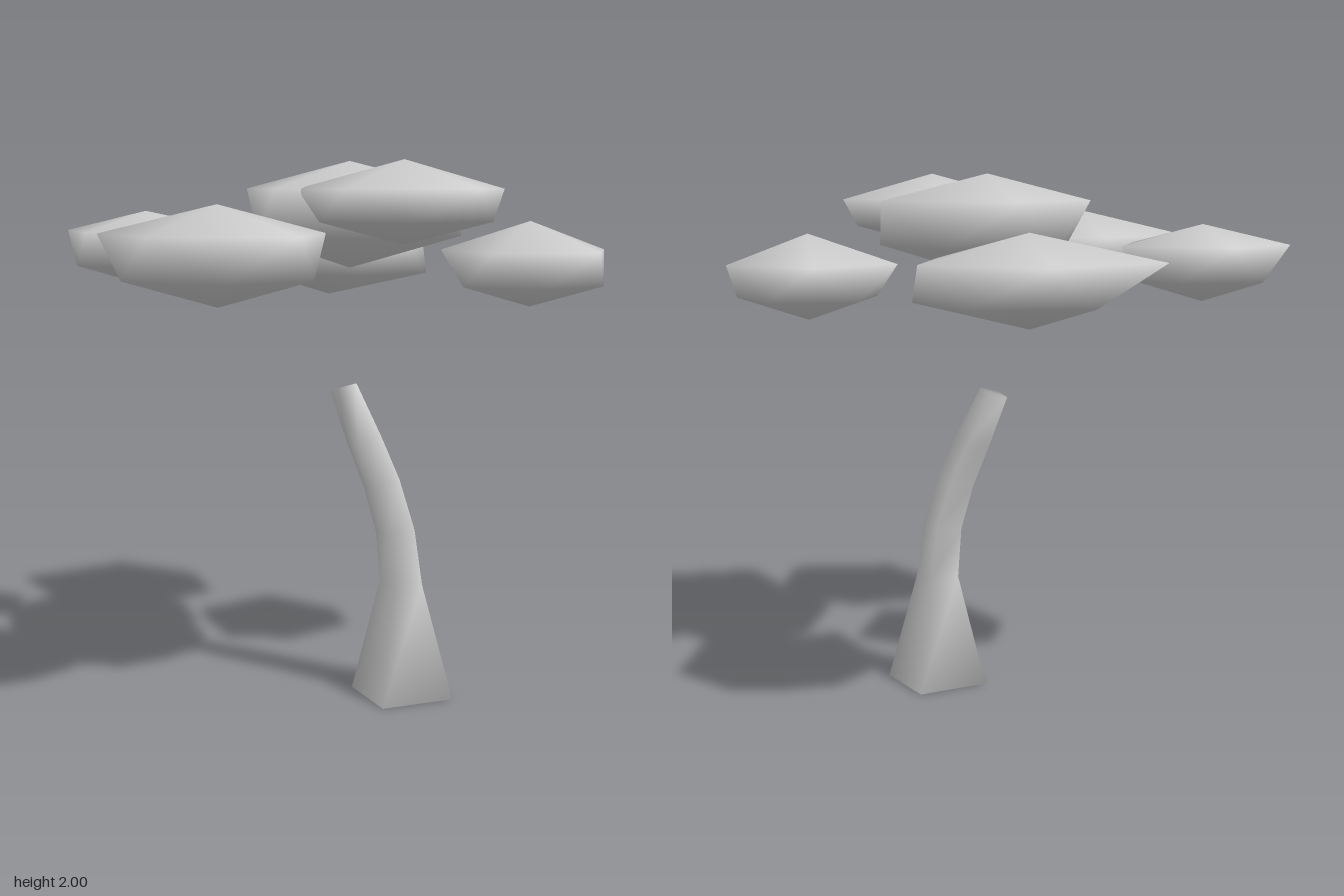
import * as THREE from 'three';

const grey = new THREE.MeshStandardMaterial({ color: 0xcccccc });
grey.name = 'pale grey';

function smoothMesh(name, points, index) {
  const geo = new THREE.BufferGeometry();
  geo.setAttribute('position', new THREE.Float32BufferAttribute(points.flat(), 3));
  geo.setIndex(index);
  geo.computeVertexNormals();
  const mesh = new THREE.Mesh(geo, grey);
  mesh.name = name;
  return mesh;
}

// Squashed twelve-point clump: top point, wide ring, narrower turned ring, bottom point.
// ring: five [x, z] corners, anticlockwise from above; heights from top to bottom.
function clump({ name, ring, heights, spread = 1, shift = 0 }) {
  const [yTop, yRing, yLow, yBottom] = heights;
  const cx = ring.reduce((s, p) => s + p[0], 0) / 5;
  const cz = ring.reduce((s, p) => s + p[1], 0) / 5;
  const points = [[cx, yTop, cz]];
  for (const [x, z] of ring) points.push([x, yRing, z]);
  for (let i = 0; i < 5; i++) {
    const a = ring[i], b = ring[(i + 1) % 5];
    points.push([
      cx + shift + ((a[0] + b[0]) / 2 - cx) * spread,
      yLow,
      cz + ((a[1] + b[1]) / 2 - cz) * spread,
    ]);
  }
  points.push([cx, yBottom, cz]);
  const index = [];
  for (let i = 0; i < 5; i++) {
    const n = (i + 1) % 5;
    const p = 1 + i, q = 1 + n, l = 6 + i, m = 6 + n;
    index.push(0, p, q, p, l, q, l, m, q, 11, m, l);
  }
  return smoothMesh(name, points, index);
}

const clumps = [
  { name: 'frontRightClump', heights: [1.85, 1.75, 1.6, 1.505],
    ring: [[-0.24, 0.45], [-0.5, 0.05], [-0.98, 0.2], [-0.95, 0.68], [-0.5, 0.87]] },
  { name: 'backRightClump', heights: [1.815, 1.74, 1.61, 1.53],
    ring: [[-0.26, -0.43], [-0.53, -0.74], [-0.88, -0.61], [-0.91, -0.22], [-0.53, -0.1]] },
  { name: 'backClump', heights: [1.8, 1.7, 1.56, 1.47], shift: 0.06,
    ring: [[0.6, -0.51], [0.33, -0.93], [-0.2, -0.81], [-0.13, -0.3], [0.33, -0.12]] },
  { name: 'centreClump', heights: [2, 1.9, 1.73, 1.61], spread: 1.08, shift: 0.02,
    ring: [[0.45, 0.09], [0.13, -0.37], [-0.32, -0.12], [-0.4, 0.37], [0.14, 0.56]] },
  { name: 'frontClump', heights: [2, 1.9, 1.79, 1.71],
    ring: [[0.39, 0.57], [0.13, 0.21], [-0.31, 0.36], [-0.33, 0.81], [0.11, 0.92]] },
  { name: 'leftClump', heights: [1.78, 1.67, 1.54, 1.46], spread: 1.03,
    ring: [[0.97, 0.31], [0.78, -0.04], [0.39, 0.08], [0.37, 0.52], [0.77, 0.6]] },
];

// Four-sided curved trunk: each section is [x, y, z, half width, tilt].
function trunk() {
  const sections = [
    [0.155, 0, 0.248, 0.143, 0],
    [0.152, 0.43, 0.242, 0.06, 0],
    [0.13, 0.63, 0.238, 0.054, 0.1],
    [0.086, 0.81, 0.21, 0.05, 0.2],
    [0.035, 0.97, 0.165, 0.046, 0.25],
    [-0.022, 1.165, 0.096, 0.038, 0.22],
  ];
  const corners = [[1, 1], [1, -1], [-1, -1], [-1, 1]];
  const points = [], index = [];
  for (const [x, y, z, w, tilt] of sections)
    for (const [sx, sz] of corners)
      points.push([x + sx * w, y + (sx + sz) * w * tilt, z + sz * w]);
  for (let r = 0; r < sections.length - 1; r++)
    for (let i = 0; i < 4; i++) {
      const a = r * 4 + i, b = r * 4 + (i + 1) % 4;
      index.push(a, b, b + 4, a, b + 4, a + 4);
    }
  // End caps
  const t = points.length - 4;
  index.push(0, 2, 1, 0, 3, 2, t, t + 1, t + 2, t, t + 2, t + 3);
  return smoothMesh('trunk', points, index);
}

export function createModel() {
  const tree = new THREE.Group();
  tree.name = 'tree';
  const foliage = new THREE.Group();
  foliage.name = 'foliage';
  for (const c of clumps) foliage.add(clump(c));
  tree.add(trunk(), foliage);
  return tree;
}
